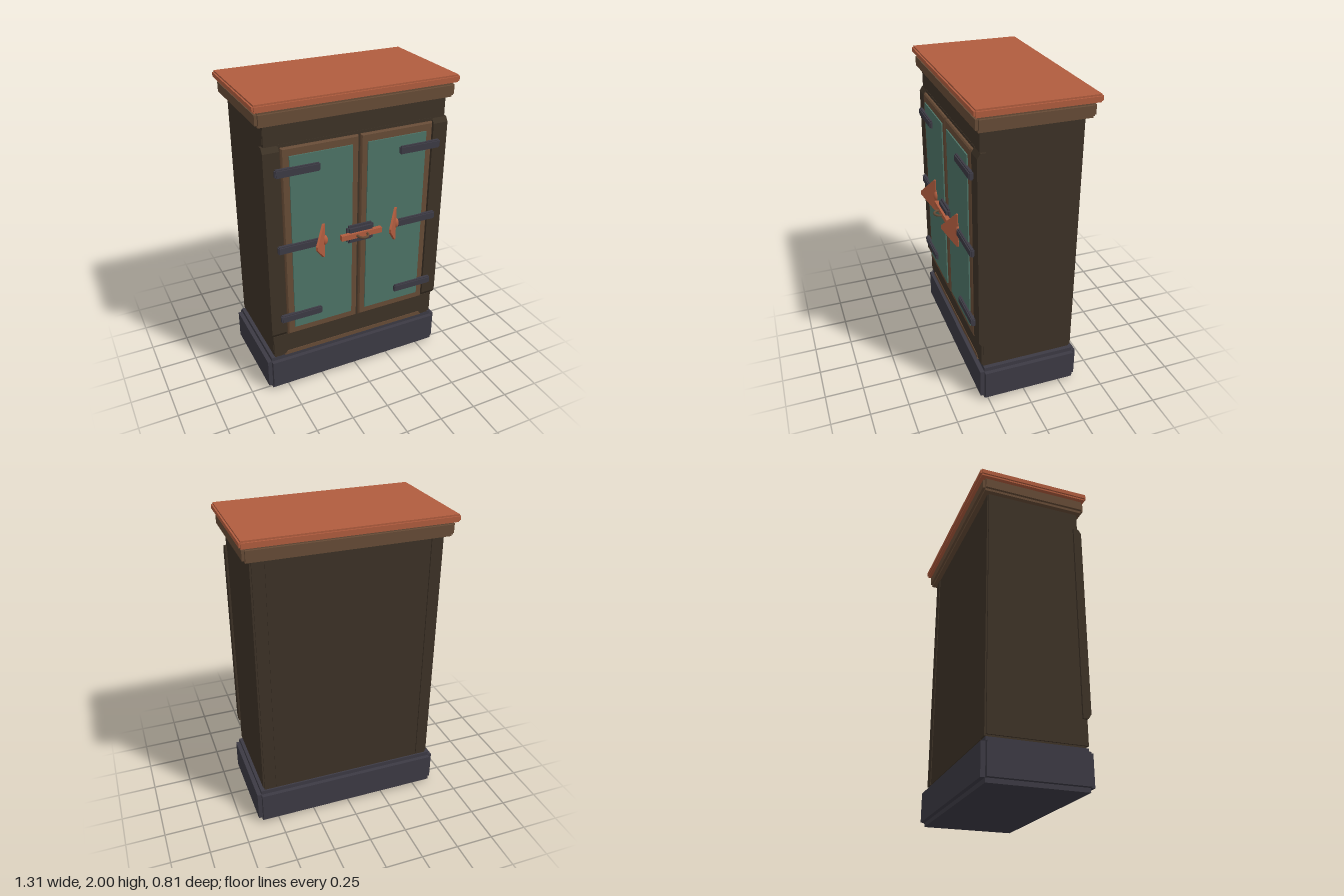
import * as THREE from 'three';

const mat = (name, color, side = THREE.FrontSide) => {
  const m = new THREE.MeshStandardMaterial({ color, side });
  m.name = name;
  return m;
};

export function createModel() {
  const root = new THREE.Group();
  root.name = 'cabinet';
  const darkWood = mat('dark wood', 0x3d3226);
  const brownWood = mat('brown wood', 0x664b36);
  const copper = mat('copper', 0xb05c3e);
  const iron = mat('iron', 0x3c3a44);
  const green = mat('green panel', 0x4d7366);

  const add = (name, geo, material, parent = root) => {
    const m = new THREE.Mesh(geo, material);
    m.name = name;
    parent.add(m);
    return m;
  };
  // Box given by its limits on each axis
  const box = (name, material, [x0, x1], [y0, y1], [z0, z1], parent = root) => {
    const m = add(name, new THREE.BoxGeometry(x1 - x0, y1 - y0, z1 - z0), material, parent);
    m.position.set((x0 + x1) / 2, (y0 + y1) / 2, (z0 + z1) / 2);
    return m;
  };
  // Box with a square notch along every edge: one full-length block per axis
  const notched = (name, material, x, y, z, n) => {
    const g = new THREE.Group();
    g.name = name;
    const inset = ([a, b]) => [a + n, b - n];
    box(name + 'Wide', material, x, inset(y), inset(z), g);
    box(name + 'Tall', material, inset(x), y, inset(z), g);
    box(name + 'Deep', material, inset(x), inset(y), z, g);
    root.add(g);
  };

  // Plinth, cornice and top slab
  notched('plinth', iron, [-0.636, 0.636], [0, 0.25], [-0.365, 0.298], 0.027);
  notched('cornice', brownWood, [-0.637, 0.637], [1.86, 1.952], [-0.38, 0.316], 0.016);
  box('corniceNeck', brownWood, [-0.62, 0.62], [1.93, 1.965], [-0.365, 0.3]);
  notched('topSlab', copper, [-0.655, 0.655], [1.953, 2], [-0.405, 0.331], 0.01);

  // Carcass with corner posts and a slightly recessed back
  box('carcass', darkWood, [-0.582, 0.582], [0.24, 1.88], [-0.328, 0.27]);
  for (const s of [-1, 1]) {
    box('sidePanel', darkWood, s < 0 ? [-0.592, -0.57] : [0.57, 0.592], [0.27, 1.87], [-0.328, 0.272]);
    box('backPost', darkWood, s < 0 ? [-0.582, -0.512] : [0.512, 0.582], [0.262, 1.87], [-0.337, -0.3]);
  }
  box('backPanel', darkWood, [-0.505, 0.505], [0.262, 1.87], [-0.333, -0.3]);

  // Front rails, recess behind the doors and lower trim
  box('topRail', darkWood, [-0.59, 0.59], [1.735, 1.87], [0.25, 0.283]);
  box('bottomRail', darkWood, [-0.59, 0.59], [0.27, 0.425], [0.25, 0.283]);
  box('doorBacking', darkWood, [-0.51, 0.51], [0.42, 1.74], [0.25, 0.285]);
  const trim = new THREE.Shape([
    new THREE.Vector2(-0.52, 0.26), new THREE.Vector2(0.52, 0.26),
    new THREE.Vector2(0.5, 0.288), new THREE.Vector2(-0.5, 0.288)]);
  add('lowerTrim', new THREE.ExtrudeGeometry(trim, { depth: 0.03, bevelEnabled: false }), brownWood)
    .position.z = 0.257;

  // Stiles with sloped ends: a side profile swept across x
  const stile = new THREE.Shape([
    new THREE.Vector2(-0.25, 0.428), new THREE.Vector2(-0.25, 1.735), new THREE.Vector2(-0.283, 1.735),
    new THREE.Vector2(-0.303, 1.705), new THREE.Vector2(-0.303, 0.458), new THREE.Vector2(-0.283, 0.428)]);
  const stileGeo = new THREE.ExtrudeGeometry(stile, { depth: 0.1, bevelEnabled: false });
  stileGeo.rotateY(Math.PI / 2);
  for (const x of [-0.605, 0.505]) add('stile', stileGeo, darkWood).position.x = x;

  // Doors: chamfered frame, green panel and three straps each
  const rect = (T, x, y) => new T([
    new THREE.Vector2(-x, -y), new THREE.Vector2(x, -y), new THREE.Vector2(x, y), new THREE.Vector2(-x, y)]);
  const frame = rect(THREE.Shape, 0.236, 0.636);
  frame.holes.push(rect(THREE.Path, 0.19, 0.585));
  const frameGeo = new THREE.ExtrudeGeometry(frame, {
    depth: 0.015, bevelThickness: 0.008, bevelSize: 0.008, bevelSegments: 1 });
  for (const s of [-1, 1]) {
    add('doorFrame', frameGeo, brownWood).position.set(s * 0.252, 1.077, 0.282);
    const cx = s * 0.25;
    box('doorPanel', green, [cx - 0.2, cx + 0.2], [0.485, 1.67], [0.28, 0.313]);
    for (const y of [0.575, 1.08, 1.58])
      notched('strap', iron, s < 0 ? [-0.545, -0.265] : [0.265, 0.545], [y - 0.026, y + 0.026], [0.3, 0.331], 0.007);
  }

  // Lock plate, crossbar and horizontal ring
  notched('lockPlate', iron, [-0.093, 0.093], [1.02, 1.14], [0.3, 0.34], 0.014);
  box('crossbar', copper, [-0.14, 0.14], [1.062, 1.097], [0.327, 0.355]);
  const ring = add('lockRing', new THREE.TorusGeometry(0.035, 0.008, 8, 24), brownWood);
  ring.rotation.x = Math.PI / 2;
  ring.position.set(0, 1.08, 0.36);

  // Slanted triangular handles, both turned the same way, each with a stud
  const tri = new THREE.Shape([
    new THREE.Vector2(0, -0.115), new THREE.Vector2(0, 0.115), new THREE.Vector2(-0.014, 0.115),
    new THREE.Vector2(-0.118, 0.012), new THREE.Vector2(-0.118, -0.012), new THREE.Vector2(-0.014, -0.115)]);
  const triGeo = new THREE.ExtrudeGeometry(tri, { depth: 0.014, bevelEnabled: false });
  triGeo.translate(0, 0, -0.007);
  for (const x of [-0.243, 0.257]) {
    const h = add('handle', triGeo, copper);
    h.position.set(x, 1.08, 0.313);
    h.rotation.y = Math.PI / 4;
    const stud = add('handleStud', new THREE.SphereGeometry(1, 16, 12), copper);
    stud.scale.set(0.022, 0.034, 0.022);
    stud.position.set(x + 0.003, 1.08, 0.313);
  }
  return root;
}
